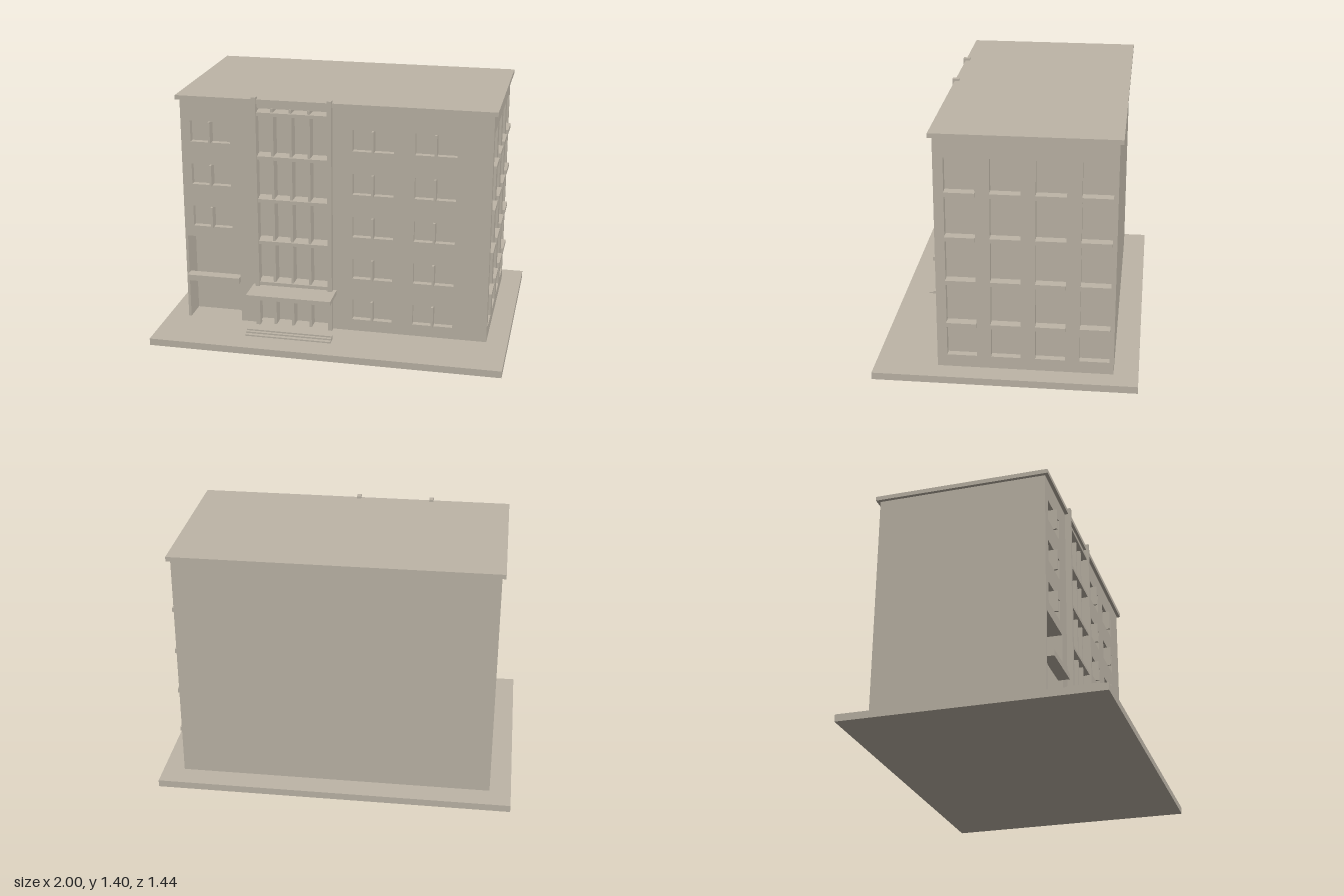
import * as THREE from 'three';

export function createModel() {
  const model = new THREE.Group();
  model.name = 'apartmentBlock';
  const stone = new THREE.MeshStandardMaterial({ color: 0xbdb5a7 });
  stone.name = 'warm stone';

  // Box given by its limits on each axis
  function box(name, x0, x1, y0, y1, z0, z1) {
    const mesh = new THREE.Mesh(new THREE.BoxGeometry(x1 - x0, y1 - y0, z1 - z0), stone);
    mesh.position.set((x0 + x1) / 2, (y0 + y1) / 2, (z0 + z1) / 2);
    mesh.name = name;
    model.add(mesh);
  }

  // Wall panel with rectangular openings, each [u0, u1, y0, y1]
  function wall(name, u0, u1, y0, y1, depth, openings) {
    const rect = (p, [a, b, c, d]) => p.moveTo(a, c).lineTo(b, c).lineTo(b, d).lineTo(a, d).closePath();
    const shape = rect(new THREE.Shape(), [u0, u1, y0, y1]);
    openings.forEach(o => shape.holes.push(rect(new THREE.Path(), o)));
    const mesh = new THREE.Mesh(new THREE.ExtrudeGeometry(shape, { depth, bevelEnabled: false }), stone);
    mesh.name = name;
    model.add(mesh);
    return mesh;
  }

  const front = 0.375, coreFront = 0.235, sideInner = 0.84, floor = 0.2525;

  // Plinth, solid core and roof slab
  box('plinth', -1, 1, 0, 0.04, -0.72, 0.72);
  box('core', -0.88, sideInner, 0.02, 1.37, -0.585, coreFront);
  box('roofSlab', -0.9, 0.9, 1.365, 1.39, -0.605, 0.395);

  // Front windows: recessed panes with a projecting central mullion
  const portal = [-0.865, -0.555, 0.03, 0.55];
  const curtain = [-0.445, -0.02, 0.03, 1.337];
  const windows = [];
  for (const x of [-0.71, 0.222, 0.57]) {
    for (let i = x < 0 ? 2 : 0; i < 5; i++) {
      const y = 0.11 + i * floor;
      windows.push([x - 0.115, x + 0.115, y, y + 0.122]);
      box('windowPane', x - 0.12, x + 0.12, y - 0.005, y + 0.127, coreFront, front - 0.035);
      box('windowMullion', x - 0.006, x + 0.006, y, y + 0.122, 0.33, 0.396);
    }
  }
  const frontWall = wall('frontWall', -0.88, sideInner, 0.02, 1.37, front - coreFront,
    [portal, curtain, ...windows]);
  frontWall.position.z = coreFront;

  // Side portal canopy
  box('portalCanopy', -0.865, -0.555, 0.285, 0.32, 0.35, 0.413);

  // Glazed stair bay with its grid and tall pilasters
  box('bayGlazing', -0.45, -0.015, 0.03, 1.34, coreFront, 0.31);
  for (const x of [-0.347, -0.242, -0.138]) box('bayMullion', x - 0.007, x + 0.007, 0.04, 1.337, 0.3, 0.385);
  for (let i = 0; i < 5; i++) {
    const y = 0.287 + i * floor;
    box('bayTransom', -0.44, -0.025, y, y + 0.02, 0.3, 0.398);
  }
  for (const x of [-0.445, -0.018]) box('pilaster', x - 0.012, x + 0.012, 0.04, 1.403, 0.37, 0.408);

  // Entrance canopy and steps
  box('entranceCanopy', -0.475, 0.015, 0.258, 0.283, 0.36, 0.548);
  [0.573, 0.55, 0.532].forEach((z, i) =>
    box('entranceStep', -0.48, 0.02, 0.03, 0.048 + i * 0.0085, 0.515, z));

  // Right-hand end: four tall recesses crossed by projecting sills
  const strips = [];
  for (let i = 0; i < 4; i++) {
    const z = 0.24 - i * 0.24;
    strips.push([-z - 0.081, -z + 0.081, 0.11, 1.255]);
    for (let j = 0; j < 4; j++) {
      const y = 0.285 + j * floor;
      box('sideSill', 0.835, 0.895, y, y + 0.025, z - 0.081, z + 0.081);
    }
  }
  const sideWall = wall('sideWall', -front, 0.585, 0.02, 1.37, 0.88 - sideInner, strips);
  sideWall.rotation.y = Math.PI / 2;
  sideWall.position.x = sideInner;
  // Backing of the foremost recess
  box('sideBacking', 0.8, sideInner, 0.05, 1.3, coreFront, 0.335);

  return model;
}
